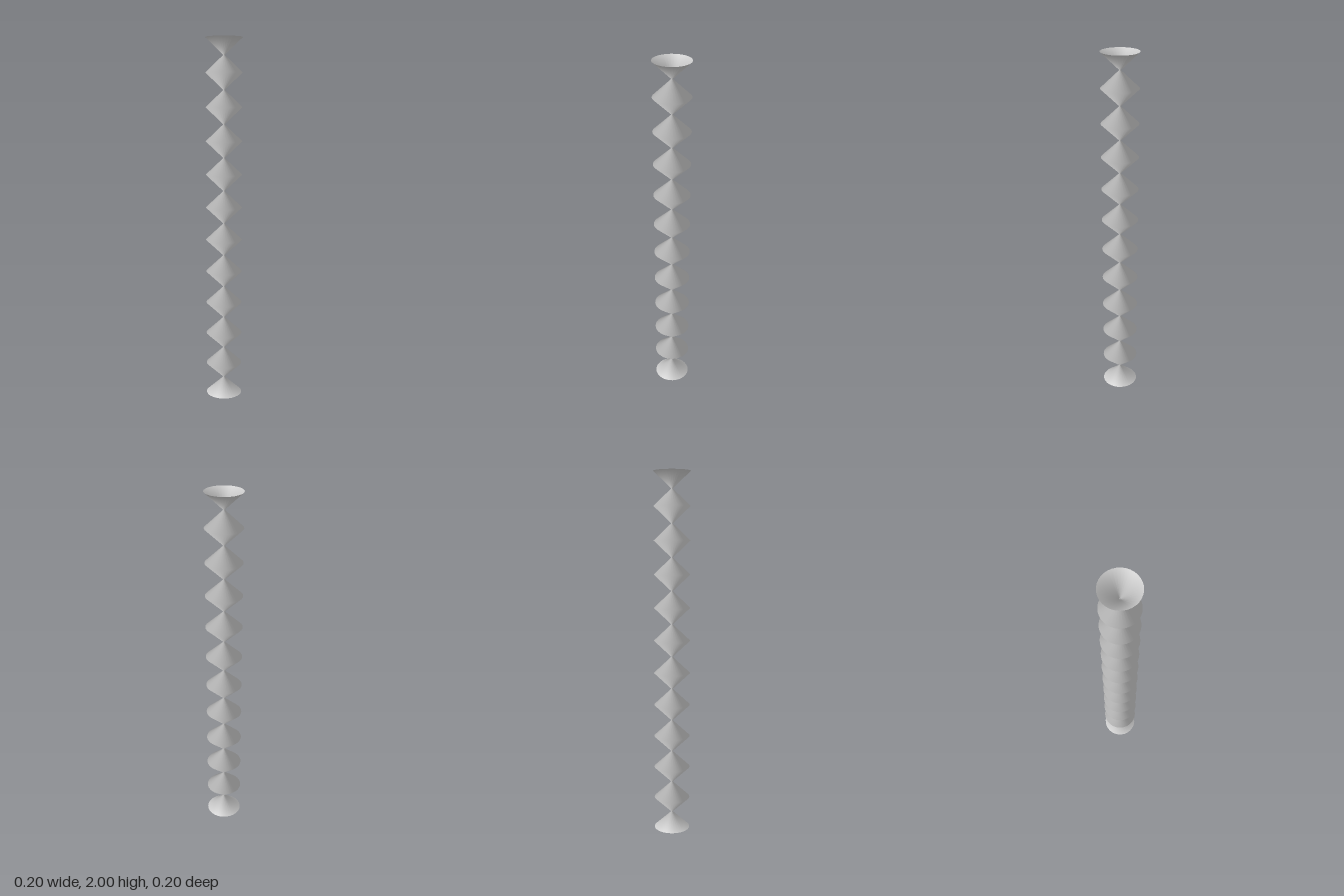
import * as THREE from 'three';

const SEGMENTS = 11;   // beads along the column, counting the two open half beads as one
const HEIGHT = 2;
const RIM = 0.1;
const WAIST = 0.004;

export function createModel() {
  const group = new THREE.Group();
  group.name = 'zigzagColumn';

  // zigzag profile: wide rims at both ends, narrow waists between
  const profile = [];
  for (let i = 0; i <= SEGMENTS * 2; i++) {
    profile.push(new THREE.Vector2(i % 2 ? WAIST : RIM, (i * HEIGHT) / (SEGMENTS * 2)));
  }

  // open at the top and bottom, so the end funnels show their insides
  const column = new THREE.Mesh(
    new THREE.LatheGeometry(profile, 32),
    new THREE.MeshStandardMaterial({ color: 0xcccccc, side: THREE.DoubleSide })
  );
  column.name = 'column';
  group.add(column);
  return group;
}
